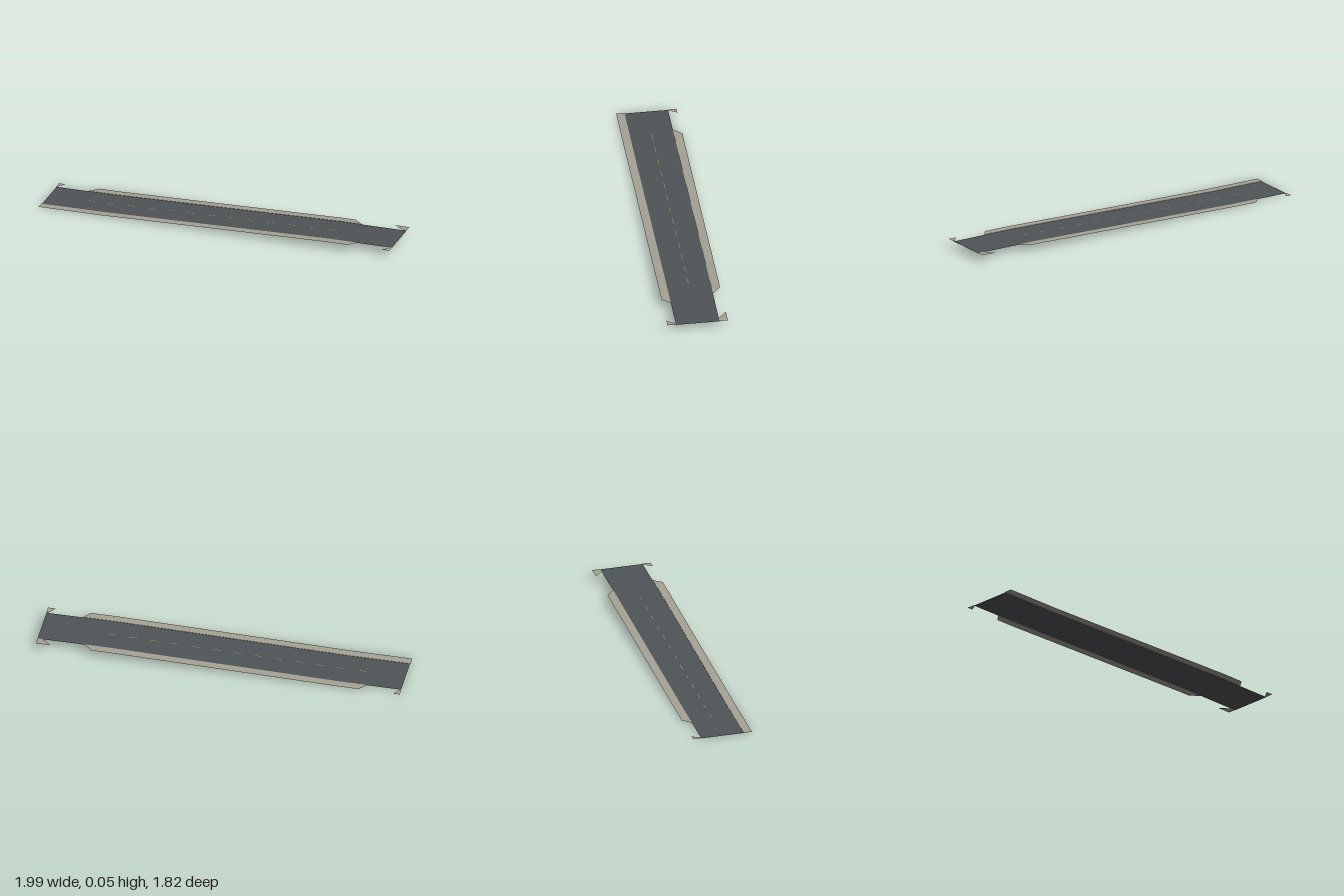
import * as THREE from 'three';

const UX = 0.75, UZ = 0.661;          // heading of the road in plan
const HALF = 0.137, OUTER = 0.19;     // carriageway and verge half widths
// gradient of the road: [distance along, height]
const GRADE = [[-1.16, 0.001], [-0.76, 0.005], [0.73, 0.046], [1.16, 0.048]];

function heightAt(s) {
  let i = 0;
  while (i < GRADE.length - 2 && s > GRADE[i + 1][0]) i++;
  const [s0, y0] = GRADE[i], [s1, y1] = GRADE[i + 1];
  return y0 + (y1 - y0) * THREE.MathUtils.clamp((s - s0) / (s1 - s0), 0, 1);
}

// Strip along the road between offsets va < vb; each end may be cut on a slant
function strip(va, vb, [a0, a1], [b0, b1], liftA, liftB = liftA) {
  const rows = [[a0, b0]];
  for (const [s] of GRADE) {
    if (s > Math.max(a0, b0) && s < Math.min(a1, b1)) rows.push([s, s]);
  }
  rows.push([a1, b1]);
  const pos = [], index = [];
  const put = (s, v, lift) => pos.push(UX * s + UZ * v, heightAt(s) + lift, UZ * s - UX * v);
  rows.forEach(([sa, sb], i) => {
    put(sa, va, liftA);
    put(sb, vb, liftB);
    if (i > 0) {
      const k = 2 * (i - 1);
      index.push(k, k + 2, k + 1, k + 1, k + 2, k + 3);
    }
  });
  const geo = new THREE.BufferGeometry();
  geo.setAttribute('position', new THREE.Float32BufferAttribute(pos, 3));
  geo.setIndex(index);
  geo.computeVertexNormals();
  return geo;
}

export function createModel() {
  const group = new THREE.Group();
  const paint = (color) => new THREE.MeshStandardMaterial({ color, side: THREE.DoubleSide });
  const asphalt = paint(0x4f5457), concrete = paint(0xa5a295), yellow = paint(0xa39556);
  const add = (name, geo, mat) => {
    const mesh = new THREE.Mesh(geo, mat);
    mesh.name = name;
    group.add(mesh);
  };

  // Carriageway
  add('roadSurface', strip(-HALF, HALF, [-1.157, 1.157], [-1.157, 1.157], -0.001), asphalt);

  // Pavements with slanted ends, and the small corner pieces past the side openings
  const pavements = [
    { name: 'rightPavement', side: -1, inner: [-1.16, 0.926], outer: [-1.16, 0.884] },
    { name: 'rightCornerPavement', side: -1, inner: [1.145, 1.157], outer: [1.107, 1.157] },
    { name: 'leftPavement', side: 1, inner: [-0.944, 0.862], outer: [-0.895, 0.802] },
    { name: 'leftBackCornerPavement', side: 1, inner: [-1.157, -1.15], outer: [-1.16, -1.118] },
    { name: 'leftFrontCornerPavement', side: 1, inner: [1.124, 1.157], outer: [1.064, 1.157] },
  ];
  for (const { name, side, inner, outer } of pavements) {
    const geo = side > 0
      ? strip(HALF, OUTER, inner, outer, 0.001)
      : strip(-OUTER, -HALF, outer, inner, 0.001);
    add(name, geo, concrete);
    // Low kerb face down to the carriageway
    const kerb = side > 0
      ? strip(HALF, HALF, inner, inner, -0.001, 0.001)
      : strip(-HALF, -HALF, inner, inner, 0.001, -0.001);
    add(name + 'Kerb', kerb, concrete);
  }

  // Dashed centre line
  for (let i = 0; i < 13; i++) {
    const s = -0.905 + i * 0.1325;
    add('centreDash', strip(-0.002, 0.002, [s, s + 0.05], [s, s + 0.05], 0), yellow);
  }
  return group;
}
